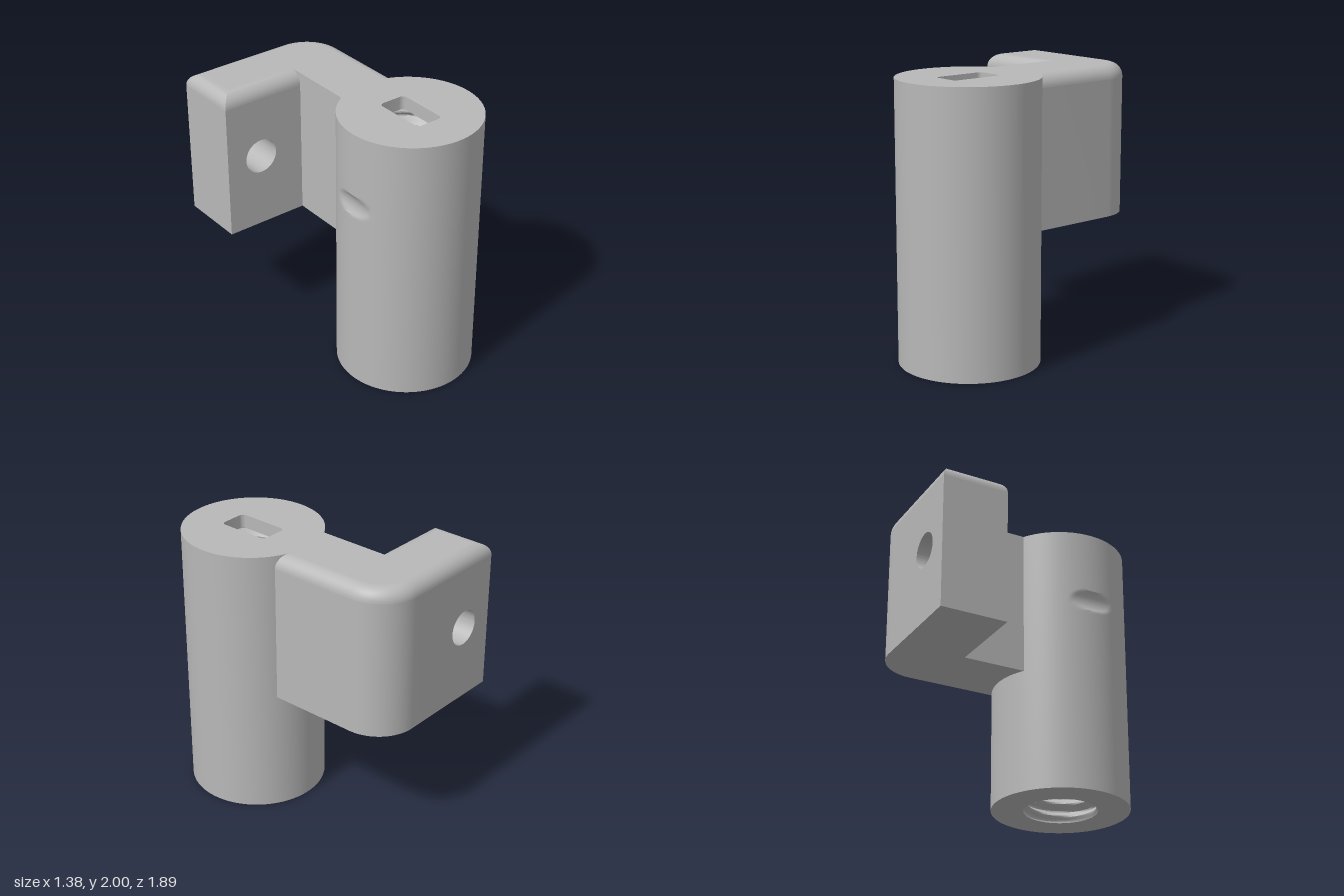
import * as THREE from 'three';
import { toCreasedNormals } from 'three/addons/utils/BufferGeometryUtils.js';

const CX = 0.187, CZ = 0.447, R = 0.498;          // column axis and radius
const TOP = 2, LOW = 0.905, FILLET = 0.095;       // arm heights and edge rounding
const PLATE = 0.1, BORE = 0.265;                  // slotted end plate, threaded bore
const HOLE = { x: -0.41, y: 1.455, r: 0.128 };    // cross hole through the arm

// Plan outline of the arm as (x, -z), counter-clockwise, inset by d on its rounded edges
function armOutline(d, legOnly = false) {
  const pts = legOnly ? [] : [[-0.69 + d, 0.455 + d], [-0.06, 0.455 + d]];
  pts.push([-0.06, -0.1], [0.435 - d, -0.1]);
  for (let i = 0; i <= 20; i++) {
    const a = (i / 20) * Math.PI / 2;
    pts.push([0.135 + (0.3 - d) * Math.cos(a), 0.645 + (0.3 - d) * Math.sin(a)]);
  }
  pts.push([legOnly ? -0.06 : -0.69 + d, 0.945 - d]);
  return pts.map(([x, y]) => new THREE.Vector2(x, y));
}

// Rounded upper edge of the arm, lofted through shrinking outlines
function filletGeometry(steps = 10) {
  const pos = [], index = [];
  let n = 0;
  for (let k = 0; k <= steps; k++) {
    const a = (k / steps) * Math.PI / 2;
    const loop = armOutline(FILLET * (1 - Math.cos(a)));
    n = loop.length;
    for (const p of loop) pos.push(p.x, TOP - FILLET + FILLET * Math.sin(a), -p.y);
  }
  for (let k = 0; k < steps; k++) {
    for (let i = 0; i < n; i++) {
      const a = k * n + i, b = k * n + (i + 1) % n;
      index.push(a, b, b + n, a, b + n, a + n);
    }
  }
  const g = new THREE.BufferGeometry();
  g.setAttribute('position', new THREE.Float32BufferAttribute(pos, 3));
  g.setIndex(index);
  return g;
}

// Move every vertex of a geometry by a rule
function reshape(geometry, rule) {
  const p = geometry.attributes.position, v = new THREE.Vector3();
  for (let i = 0; i < p.count; i++) {
    rule(v.fromBufferAttribute(p, i));
    p.setXYZ(i, v.x, v.y, v.z);
  }
  return geometry;
}

export function createModel() {
  const model = new THREE.Group();
  model.name = 'bracket';
  const grey = new THREE.MeshStandardMaterial({ color: 0xb8b8b8, side: THREE.DoubleSide });
  grey.name = 'grey';

  const column = new THREE.Group();
  column.name = 'column';
  const arm = new THREE.Group();
  arm.name = 'arm';
  model.add(column, arm);

  const add = (group, name, geometry) => {
    const mesh = new THREE.Mesh(toCreasedNormals(geometry, 0.5), grey);
    mesh.name = name;
    group.add(mesh);
  };

  // Column wall, grazed by the cross hole on its right side
  const wall = new THREE.CylinderGeometry(R, R, TOP, 128, 125, true).translate(CX, TOP / 2, CZ);
  reshape(wall, (v) => {
    const h = HOLE.r ** 2 - (v.y - HOLE.y) ** 2;
    if (h > 0 && v.x < HOLE.x + Math.sqrt(h)) v.x = HOLE.x + Math.sqrt(h);
  });
  add(column, 'columnWall', wall);

  // Ring faces at both ends
  add(column, 'topRing', new THREE.RingGeometry(0.3, R, 128).rotateX(-Math.PI / 2).translate(CX, TOP, CZ));
  add(column, 'bottomRing', new THREE.RingGeometry(BORE, R, 128).rotateX(Math.PI / 2).translate(CX, 0, CZ));

  // End plate with a rounded slot
  const plate = new THREE.Shape().absarc(0, 0, 0.3, 0, Math.PI * 2);
  const w = 0.105, l = 0.197, c = 0.035;
  const slot = new THREE.Path();
  slot.absarc(w - c, l - c, c, 0, Math.PI / 2);
  slot.absarc(c - w, l - c, c, Math.PI / 2, Math.PI);
  slot.absarc(c - w, c - l, c, Math.PI, Math.PI * 1.5);
  slot.absarc(w - c, c - l, c, Math.PI * 1.5, Math.PI * 2);
  plate.holes.push(slot);
  add(column, 'slottedPlate', new THREE.ExtrudeGeometry(plate, { depth: PLATE, bevelEnabled: false, curveSegments: 64 })
    .rotateX(-Math.PI / 2).translate(CX, TOP - PLATE, CZ));

  // Bore with a helical thread that fades out at the mouth
  const depth = TOP - PLATE, pitch = 0.1;
  const bore = new THREE.CylinderGeometry(1, 1, depth, 48, 152, true).translate(0, depth / 2, 0);
  reshape(bore, (v) => {
    const turn = v.y / pitch + Math.atan2(v.z, v.x) / (Math.PI * 2);
    const wave = Math.abs((turn - Math.floor(turn)) * 2 - 1) * 2 - 1;
    const fade = Math.min(1, v.y / 0.06);
    const r = BORE - 0.005 * fade + 0.025 * fade * THREE.MathUtils.clamp(wave * 1.4, -1, 1);
    v.set(v.x * r, v.y, v.z * r);
  });
  add(column, 'threadedBore', bore.translate(CX, 0, CZ));

  // Leg of the arm, running back from the column round the outer corner
  add(arm, 'armLeg', new THREE.ExtrudeGeometry(new THREE.Shape(armOutline(0, true)),
    { depth: TOP - FILLET - LOW, bevelEnabled: false }).rotateX(-Math.PI / 2).translate(0, LOW, 0));

  // Side block of the arm with the cross hole
  const face = new THREE.Shape([[-0.69, LOW], [-0.06, LOW], [-0.06, TOP - FILLET], [-0.69, TOP - FILLET]]
    .map(([x, y]) => new THREE.Vector2(x, y)));
  face.holes.push(new THREE.Path().absarc(HOLE.x, HOLE.y, HOLE.r, 0, Math.PI * 2));
  add(arm, 'armBlock', new THREE.ExtrudeGeometry(face, { depth: 0.49, bevelEnabled: false, curveSegments: 48 })
    .translate(0, 0, -0.945));

  // Rounded edge and flat top
  add(arm, 'armRoundedEdge', filletGeometry());
  add(arm, 'armTop', new THREE.ShapeGeometry(new THREE.Shape(armOutline(FILLET)))
    .rotateX(-Math.PI / 2).translate(0, TOP, 0));

  return model;
}
